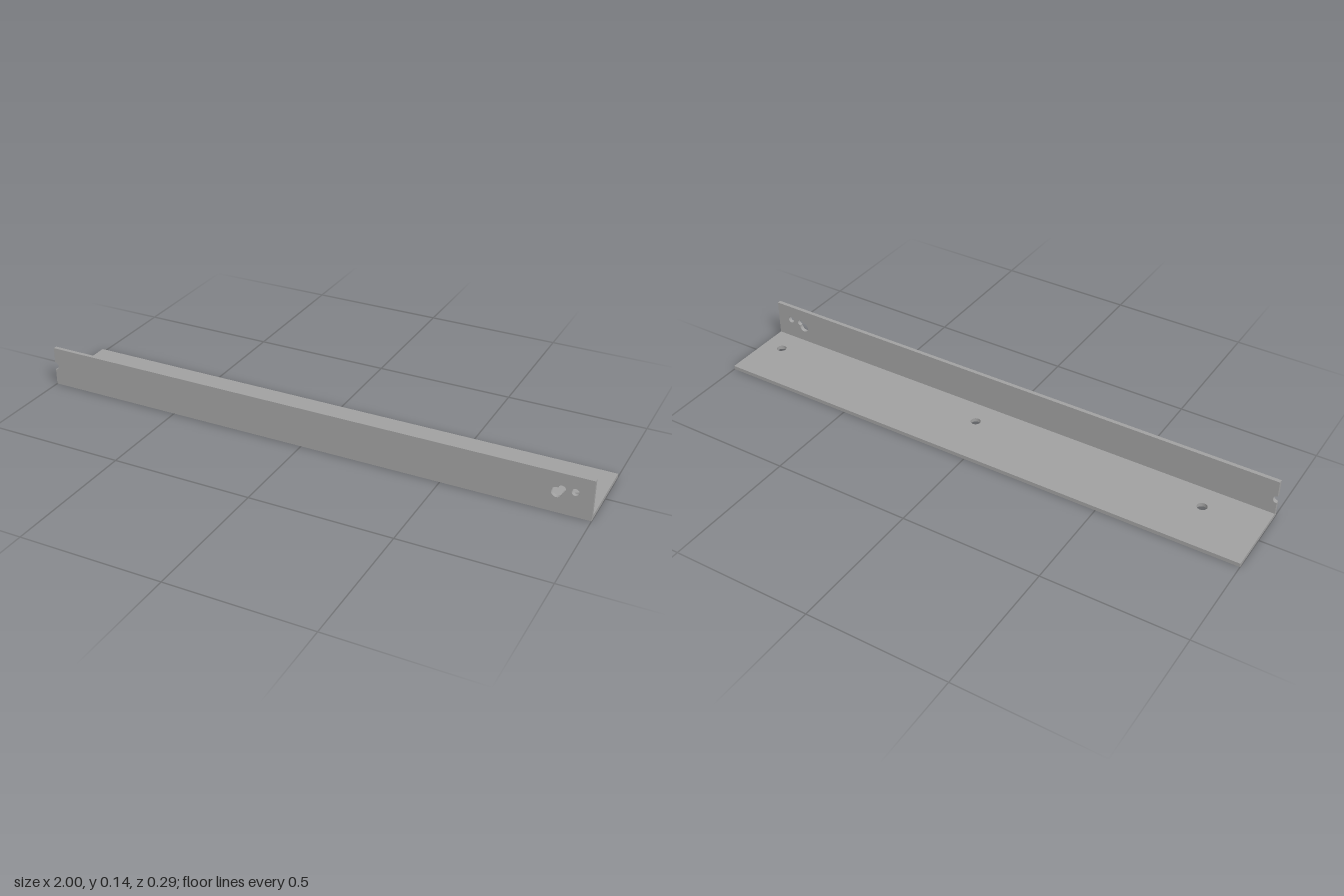
import * as THREE from 'three';

const HALF = 1, H = 0.143, DEPTH = 0.143, T = 0.014;

// Extrudes a flat plate outline to the sheet thickness
const plate = (shape) =>
  new THREE.ExtrudeGeometry(shape, { depth: T, bevelEnabled: false, curveSegments: 24 });

const roundHole = (x, y, r) => new THREE.Path().absarc(x, y, r, 0, Math.PI * 2, true);

// Outline of two overlapping round holes
function doubleHole(x1, y1, r1, x2, y2, r2) {
  const dx = x2 - x1, dy = y2 - y1, d = Math.hypot(dx, dy), dir = Math.atan2(dy, dx);
  const a = (d * d + r1 * r1 - r2 * r2) / (2 * d);
  const open1 = Math.acos(a / r1), open2 = Math.acos((d - a) / r2);
  const path = new THREE.Path();
  path.absarc(x1, y1, r1, dir + open1, dir - open1 + Math.PI * 2, false);
  path.absarc(x2, y2, r2, dir + Math.PI + open2, dir + Math.PI * 3 - open2, false);
  return path;
}

export function createModel() {
  const model = new THREE.Group();
  model.name = 'angleBracket';
  const steel = new THREE.MeshStandardMaterial({ color: 0xa0a0a0 });
  steel.name = 'grey steel';

  // Upright flange with a half-round notch in its right end
  const notchY = 0.072, notchR = 0.014;
  const wall = new THREE.Shape();
  wall.moveTo(-HALF, 0);
  wall.lineTo(HALF, 0);
  wall.lineTo(HALF, H);
  wall.lineTo(-HALF, H);
  wall.lineTo(-HALF, notchY + notchR);
  wall.absarc(-HALF, notchY, notchR, Math.PI / 2, -Math.PI / 2, true);
  wall.closePath();
  wall.holes.push(
    doubleHole(0.883, 0.072, 0.018, 0.899, 0.087, 0.0125),
    roundHole(0.942, 0.087, 0.0125));
  const upright = new THREE.Mesh(plate(wall), steel);
  upright.name = 'uprightFlange';
  upright.position.z = DEPTH - T;
  model.add(upright);

  // Flat flange with three mounting holes, butted against the upright
  const floor = new THREE.Shape();
  floor.moveTo(-HALF, -DEPTH);
  floor.lineTo(HALF, -DEPTH);
  floor.lineTo(HALF, DEPTH - T);
  floor.lineTo(-HALF, DEPTH - T);
  floor.closePath();
  for (const x of [-0.789, 0.068, 0.925]) floor.holes.push(roundHole(x, 0.04, 0.0175));
  const base = new THREE.Mesh(plate(floor).rotateX(Math.PI / 2).translate(0, T, 0), steel);
  base.name = 'baseFlange';
  model.add(base);

  return model;
}
